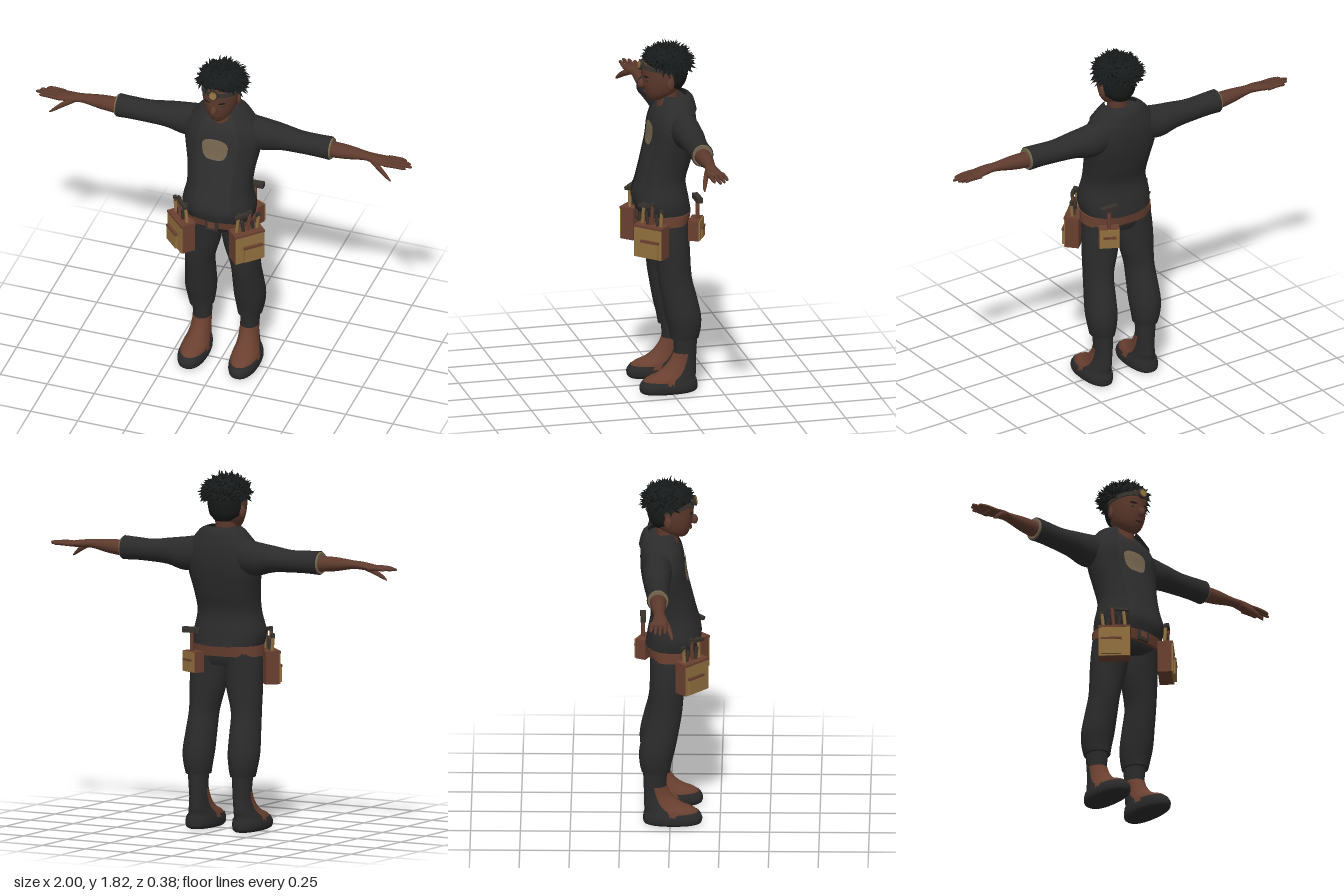
import * as THREE from 'three';
import { mergeGeometries } from 'three/addons/utils/BufferGeometryUtils.js';

const mat = (name, color, side = THREE.DoubleSide) => new THREE.MeshStandardMaterial({ name, color, side });

// Smoothly sampled cross-section [t, c1, c2, r1, r2] at u in 0..1
function sectionAt(rings, u) {
  const f = u * (rings.length - 1), i = Math.min(Math.floor(f), rings.length - 2), k = f - i;
  const get = (j) => rings[Math.max(0, Math.min(rings.length - 1, j))];
  const [a, b, c, d] = [get(i - 1), get(i), get(i + 1), get(i + 2)];
  return b.map((p, q) => {
    const m0 = (c[q] - a[q]) / 2, m1 = (d[q] - p) / 2, k2 = k * k, k3 = k2 * k;
    return (2 * k3 - 3 * k2 + 1) * p + (k3 - 2 * k2 + k) * m0 + (3 * k2 - 2 * k3) * c[q] + (k3 - k2) * m1;
  });
}

// Skin over rounded sections; axis 'y' uses (x, z) sections, axis 'x' uses (y, z).
// gap > 0 leaves an opening of that half angle centred on angle mid.
function loft(rings, { axis = 'y', n = 2, grow = 0, gap = 0, mid = Math.PI / 2, seg = 28, sub = 4, caps = true } = {}) {
  const pos = [], idx = [], rows = (rings.length - 1) * sub, closed = gap === 0, cols = closed ? seg : seg + 1;
  const pw = (v) => Math.sign(v) * Math.abs(v) ** (2 / n);
  const point = (s, a) => axis === 'y'
    ? [s[1] + (s[3] + grow) * pw(Math.cos(a)), s[0], s[2] + (s[4] + grow) * pw(Math.sin(a))]
    : [s[0], s[1] + (s[3] + grow) * pw(Math.sin(a)), s[2] + (s[4] + grow) * pw(Math.cos(a))];
  for (let r = 0; r <= rows; r++) {
    const s = sectionAt(rings, r / rows);
    for (let j = 0; j < cols; j++) pos.push(...point(s, mid + gap + (j / seg) * 2 * (Math.PI - gap)));
  }
  for (let r = 0; r < rows; r++) for (let j = 0; j < seg; j++) {
    const a = r * cols + j, b = r * cols + (j + 1) % cols, c = a + cols, d = b + cols;
    idx.push(a, c, b, b, c, d);
  }
  if (closed && caps) for (const r of [0, rows]) {
    const s = sectionAt(rings, r / rows), base = pos.length / 3;
    pos.push(...(axis === 'y' ? [s[1], s[0], s[2]] : [s[0], s[1], s[2]]));
    for (let j = 0; j < seg; j++) pos.push(...pos.slice((r * cols + j) * 3, (r * cols + j) * 3 + 3));
    for (let j = 0; j < seg; j++) {
      const p = base + 1 + j, q = base + 1 + (j + 1) % seg;
      r ? idx.push(base, q, p) : idx.push(base, p, q);
    }
  }
  const g = new THREE.BufferGeometry();
  g.setAttribute('position', new THREE.Float32BufferAttribute(pos, 3));
  g.setIndex(idx);
  g.computeVertexNormals();
  return g;
}

export function createModel() {
  const model = new THREE.Group();
  const cloth = mat('jacket cloth', 0x2b2b2b), shirtCloth = mat('shirt cloth', 0x2e2e2e), hairMat = mat('hair', 0x181b1b);
  const skin = mat('skin', 0x5e3a2d), leather = mat('leather', 0x6a4030), gold = mat('tan canvas', 0x92703e);
  const patchMat = mat('patch', 0x76664f), metal = mat('dark metal', 0x37322c), lips = mat('lips', 0x4c2b24);

  const add = (parent, name, geo, material, p = [0, 0, 0], r = [0, 0, 0], s = [1, 1, 1]) => {
    const m = new THREE.Mesh(geo, material);
    m.name = name;
    m.position.set(...p); m.rotation.set(...r); m.scale.set(...s);
    parent.add(m);
    return m;
  };
  const box = (w, h, d) => new THREE.BoxGeometry(w, h, d);
  const ball = new THREE.SphereGeometry(1, 16, 12);

  // Torso: shirt with an open jacket over it
  const torso = [[0.935, 0, 0.012, 0.172, 0.13], [1.0, 0, 0.025, 0.18, 0.132], [1.1, 0, 0.02, 0.16, 0.112],
    [1.2, 0, -0.005, 0.166, 0.112], [1.3, 0, -0.028, 0.185, 0.11], [1.38, 0, -0.037, 0.192, 0.108],
    [1.45, 0, -0.045, 0.165, 0.096], [1.5, 0, -0.052, 0.115, 0.07], [1.525, 0, -0.05, 0.07, 0.05]];
  add(model, 'shirt', loft(torso, { n: 2.4, seg: 40 }), shirtCloth);
  add(model, 'jacket', loft(torso, { n: 2.4, grow: 0.007, gap: 0.52, seg: 40 }), cloth);
  add(model, 'collar', loft([[1.54, 0, -0.045, 0.082, 0.068], [1.522, 0, -0.052, 0.118, 0.09],
    [1.465, 0, -0.045, 0.168, 0.113]], { gap: 0.62, n: 2.2 }), cloth);

  // Chest patch pressed onto the shirt front
  const patch = new THREE.RingGeometry(0.001, 1, 28, 5), pp = patch.attributes.position;
  for (let i = 0; i < pp.count; i++) {
    const a = Math.atan2(pp.getY(i), pp.getX(i)), d = Math.hypot(pp.getX(i), pp.getY(i));
    const sq = (v) => Math.sign(v) * Math.abs(v) ** 0.7;
    const x = -0.008 + 0.068 * d * sq(Math.cos(a)) * (1 + 0.06 * Math.sin(3 * a)), y = 1.335 + 0.057 * d * sq(Math.sin(a));
    let lo = 0, hi = 1;
    for (let k = 0; k < 24; k++) { const u = (lo + hi) / 2; sectionAt(torso, u)[0] < y ? lo = u : hi = u; }
    const s = sectionAt(torso, lo);
    pp.setXYZ(i, x, y, s[2] + s[4] * (1 - Math.abs(x / s[3]) ** 2.4) ** (1 / 2.4) + 0.004);
  }
  patch.computeVertexNormals();
  add(model, 'chestPatch', patch, patchMat);

  // Everything on the model's left side, mirrored afterwards
  const half = new THREE.Group();
  const armLoft = (name, rings, material, opt = {}) => add(half, name, loft(rings, { axis: 'x', seg: 20, ...opt }), material);
  armLoft('sleeve', [[0.09, 1.405, -0.06, 0.085, 0.07], [0.2, 1.387, -0.065, 0.086, 0.074], [0.3, 1.392, -0.064, 0.067, 0.068],
    [0.4, 1.388, -0.06, 0.057, 0.06], [0.5, 1.39, -0.056, 0.058, 0.056], [0.565, 1.39, -0.055, 0.061, 0.057]], cloth);
  armLoft('cuff', [[0.562, 1.39, -0.055, 0.057, 0.053], [0.574, 1.39, -0.055, 0.055, 0.051]], patchMat);
  armLoft('forearm', [[0.55, 1.385, -0.055, 0.041, 0.044], [0.65, 1.39, -0.052, 0.036, 0.038], [0.75, 1.394, -0.047, 0.022, 0.028],
    [0.8, 1.392, -0.042, 0.02, 0.034], [0.86, 1.387, -0.045, 0.016, 0.042], [0.895, 1.385, -0.048, 0.01, 0.04]], skin);
  [[-0.083, 0.957], [-0.06, 0.985], [-0.037, 1.0], [-0.013, 0.975]].forEach(([z, end]) =>
    armLoft('finger', [[0.86, 1.386, z, 0.01, 0.011], [0.92, 1.388, z - 0.001, 0.01, 0.01], [end - 0.012, 1.385, z - 0.003, 0.008, 0.008],
      [end, 1.383, z - 0.003, 0.002, 0.002]], skin, { seg: 8, sub: 3 }));
  armLoft('thumb', [[0.79, 1.388, -0.025, 0.016, 0.014], [0.84, 1.365, -0.003, 0.017, 0.013], [0.885, 1.335, 0.014, 0.011, 0.01],
    [0.908, 1.318, 0.02, 0.003, 0.003]], skin, { seg: 10, sub: 3 });

  // Legs and shoes
  add(half, 'trouserLeg', loft([[0.28, 0.128, -0.072, 0.062, 0.072], [0.33, 0.13, -0.073, 0.072, 0.081], [0.4, 0.13, -0.065, 0.08, 0.09],
    [0.5, 0.126, -0.045, 0.077, 0.089], [0.6, 0.121, -0.025, 0.076, 0.085], [0.72, 0.106, -0.017, 0.094, 0.087],
    [0.82, 0.098, -0.01, 0.098, 0.092], [0.93, 0.09, -0.002, 0.092, 0.1]]), cloth);
  add(half, 'sock', loft([[0.14, 0.126, -0.075, 0.044, 0.053], [0.2, 0.126, -0.077, 0.046, 0.056], [0.3, 0.128, -0.075, 0.052, 0.062]]), cloth);
  add(half, 'sole', loft([[0, 0.132, 0.012, 0.055, 0.13], [0.012, 0.135, 0.012, 0.07, 0.146], [0.04, 0.135, 0.012, 0.074, 0.148],
    [0.066, 0.133, 0.006, 0.069, 0.138]], { n: 2.3 }), cloth);
  const upper = [[0.05, 0.134, 0.011, 0.07, 0.141], [0.08, 0.132, -0.003, 0.063, 0.125], [0.1, 0.13, -0.03, 0.056, 0.102],
    [0.13, 0.128, -0.052, 0.05, 0.08], [0.17, 0.126, -0.068, 0.046, 0.064], [0.205, 0.126, -0.077, 0.046, 0.057]];
  add(half, 'shoeHeel', loft(upper), cloth);
  add(half, 'shoeUpper', loft(upper, { grow: 0.003, gap: 1.5, mid: -Math.PI / 2 }), leather);

  // Ears, eyes and brows
  add(half, 'ear', ball, skin, [0.09, 1.61, -0.012], [0, 0.3, 0], [0.011, 0.032, 0.02]);
  add(half, 'eye', ball, metal, [0.036, 1.625, 0.1], [0, 0.3, 0], [0.015, 0.006, 0.005]);
  add(half, 'brow', ball, hairMat, [0.037, 1.645, 0.104], [0, 0.3, 0.08], [0.022, 0.005, 0.006]);

  // Hip pouch with pocket and tools
  const pouch = new THREE.Group();
  pouch.name = 'hipPouch';
  pouch.position.set(0.172, 0.82, 0.108);
  pouch.rotation.y = 0.78;
  half.add(pouch);
  add(pouch, 'pouchBody', box(0.16, 0.165, 0.07), leather);
  add(pouch, 'pouchFront', box(0.158, 0.163, 0.008), gold, [0, 0, 0.037]);
  add(pouch, 'pouchPocket', box(0.1, 0.08, 0.014), gold, [0.015, -0.035, 0.046]);
  add(pouch, 'pocketFlap', box(0.104, 0.012, 0.018), leather, [0.015, 0.008, 0.046]);
  add(pouch, 'pouchRim', box(0.164, 0.012, 0.08), leather, [0, 0.08, 0.002]);
  const rod = new THREE.CylinderGeometry(1, 1, 1, 10);
  [[-0.05, 0.17, gold], [-0.022, 0.14, metal], [0.008, 0.18, leather], [0.034, 0.13, metal], [0.058, 0.15, gold]].forEach(([x, top, m], i) => {
    const tilt = (i % 2 ? 0.14 : -0.1);
    add(pouch, 'toolHandle', rod, m, [x, top - 0.04, 0.005 * (i % 3)], [0.05, 0, tilt], [0.009, 0.1, 0.009]);
    if (i % 2 === 0) add(pouch, 'toolHead', box(0.022, 0.022, 0.016), metal, [x - Math.sin(tilt) * 0.05, top + 0.012, 0.005 * (i % 3)]);
  });
  add(pouch, 'wrenchHead', box(0.07, 0.016, 0.018), metal, [-0.035, 0.185, 0.012], [0, 0, 0.1]);

  // Mirror the half with baked, re-wound geometry
  half.updateMatrixWorld(true);
  const otherHalf = new THREE.Group();
  half.name = 'leftSide'; otherHalf.name = 'rightSide';
  half.traverse((o) => {
    if (!o.isMesh) return;
    const g = o.geometry.clone().applyMatrix4(o.matrixWorld).scale(-1, 1, 1), ix = g.index.array;
    for (let i = 0; i < ix.length; i += 3) [ix[i], ix[i + 1]] = [ix[i + 1], ix[i]];
    add(otherHalf, o.name, g, o.material);
  });
  model.add(half, otherHalf);

  // Hips, belt and buckle
  add(model, 'hips', loft([[0.835, 0, -0.008, 0.13, 0.08], [0.87, 0, 0, 0.18, 0.1], [0.95, 0, 0.005, 0.175, 0.115]], { n: 2.4 }), cloth);
  add(model, 'belt', loft([[0.885, 0, 0.004, 0.191, 0.119], [0.938, 0, 0.006, 0.187, 0.13]], { n: 2.4, sub: 1, seg: 40 }), leather);
  add(model, 'buckle', box(0.066, 0.062, 0.014), metal, [-0.004, 0.912, 0.134]);
  add(model, 'buckleInset', box(0.036, 0.034, 0.008), leather, [-0.004, 0.912, 0.14]);

  // Back pouch holding a hammer
  const backPouch = new THREE.Group();
  backPouch.name = 'backPouch';
  backPouch.position.set(0.125, 0.853, -0.13);
  backPouch.rotation.y = 2.68;
  model.add(backPouch);
  add(backPouch, 'backPouchBody', box(0.105, 0.105, 0.055), leather);
  add(backPouch, 'backPouchFront', box(0.1, 0.1, 0.008), gold, [0, 0, 0.03]);
  add(backPouch, 'backPouchPocket', box(0.06, 0.045, 0.012), gold, [0, -0.018, 0.037]);
  add(backPouch, 'backPouchFlap', box(0.064, 0.01, 0.016), leather, [0, 0.01, 0.037]);
  add(backPouch, 'hammerHandle', rod, leather, [0, 0.09, 0.01], [0, 0, 0], [0.01, 0.14, 0.01]);
  add(backPouch, 'hammerHead', box(0.095, 0.028, 0.028), metal, [0, 0.16, 0.01], [0, 0.5, 0]);

  // Neck, head and face
  add(model, 'neck', loft([[1.42, 0, -0.035, 0.07, 0.06], [1.47, 0, -0.025, 0.064, 0.063], [1.51, 0, -0.018, 0.054, 0.055],
    [1.58, 0, -0.02, 0.055, 0.058]]), skin);
  add(model, 'head', loft([[1.512, 0, 0.045, 0.025, 0.03], [1.525, 0, 0.037, 0.044, 0.05], [1.555, 0, 0.018, 0.068, 0.082],
    [1.6, 0, 0.008, 0.083, 0.104], [1.65, 0, 0.004, 0.09, 0.112], [1.7, 0, 0.002, 0.09, 0.114], [1.75, 0, 0, 0.07, 0.09],
    [1.78, 0, 0, 0.02, 0.03]]), skin);
  add(model, 'nose', ball, skin, [0, 1.6, 0.117], [-0.25, 0, 0], [0.016, 0.026, 0.02]);
  add(model, 'mouth', ball, lips, [0, 1.557, 0.1], [0, 0, 0], [0.026, 0.008, 0.008]);

  // Headband with a round front medallion
  const band = new THREE.Group();
  band.name = 'headband';
  band.position.set(0, 1.677, 0.002);
  band.rotation.x = -0.17;
  model.add(band);
  add(band, 'bandStrap', loft([[-0.011, 0, 0, 0.096, 0.122], [0.011, 0, 0, 0.096, 0.122]], { sub: 1 }), metal);
  add(band, 'medallionRim', rod, metal, [0, 0.002, 0.122], [Math.PI / 2, 0, 0], [0.027, 0.014, 0.027]);
  add(band, 'medallion', rod, gold, [0, 0.002, 0.127], [Math.PI / 2, 0, 0], [0.02, 0.012, 0.02]);

  // Hair: a cap, short nape and many scattered curls
  add(model, 'hairCap', loft([[1.69, 0, -0.012, 0.098, 0.114], [1.72, 0, -0.012, 0.107, 0.12], [1.755, 0, -0.012, 0.095, 0.105],
    [1.778, 0, -0.012, 0.06, 0.07], [1.787, 0, -0.012, 0.01, 0.01]]), hairMat);
  add(model, 'hairNape', loft([[1.565, 0, -0.022, 0.052, 0.064], [1.6, 0, -0.008, 0.084, 0.1], [1.65, 0, -0.008, 0.094, 0.112],
    [1.7, 0, -0.01, 0.096, 0.113]], { gap: 1.75 }), hairMat);
  let seed = 7;
  const rnd = () => (seed = (seed * 16807) % 2147483647) / 2147483647;
  const curls = [], up = new THREE.Vector3(0, 1, 0);
  for (let i = 0; i < 330; i++) {
    const h = 1 - 1.25 * (i + 0.5) / 330, a = i * 2.39996, w = Math.sqrt(1 - h * h);
    const nrm = new THREE.Vector3(Math.cos(a) * w, h, Math.sin(a) * w);
    if (nrm.z > 0.45 && h < 0.12) continue;
    const dir = nrm.clone().add(new THREE.Vector3(rnd() - 0.5, rnd() - 0.75, rnd() - 0.5).multiplyScalar(1.5)).normalize();
    const len = 0.035 + 0.02 * rnd();
    const g = new THREE.ConeGeometry(0.014, len, 5, 2);
    const p = g.attributes.position;
    for (let k = 0; k < p.count; k++) p.setX(k, p.getX(k) + 9 * (p.getY(k) + len / 2) ** 2 * (rnd() > 2 ? 0 : 0.8));
    g.applyQuaternion(new THREE.Quaternion().setFromUnitVectors(up, dir));
    g.translate(nrm.x * 0.108 + dir.x * 0.012, 1.7 + nrm.y * 0.08 + dir.y * 0.012, -0.015 + nrm.z * 0.112 + dir.z * 0.012);
    g.computeVertexNormals();
    curls.push(g);
  }
  add(model, 'hairCurls', mergeGeometries(curls), hairMat);
  return model;
}
